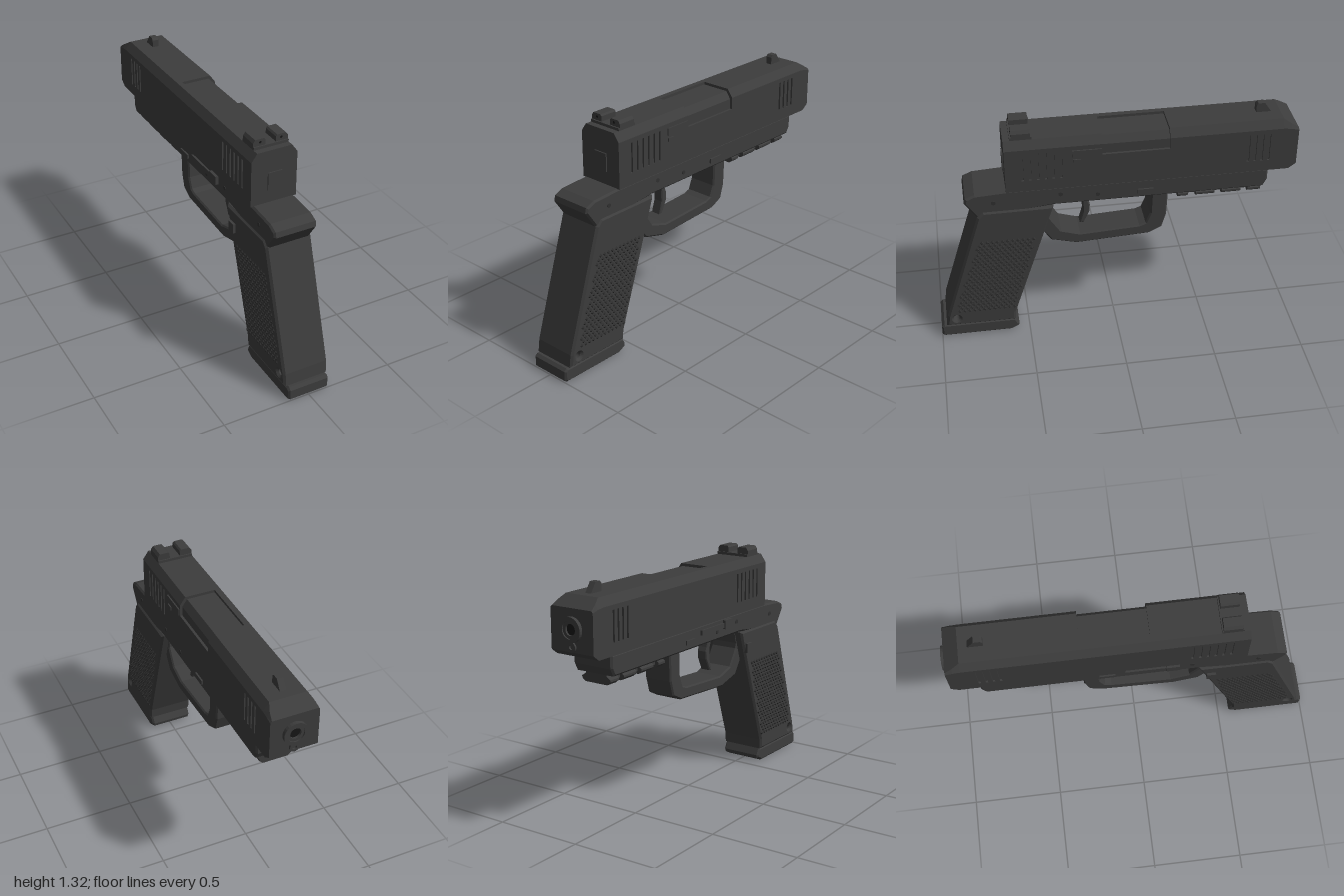
import * as THREE from 'three';
import { mergeGeometries } from 'three/addons/utils/BufferGeometryUtils.js';

const mat = (name, color) => {
  const m = new THREE.MeshStandardMaterial({ color });
  m.name = name;
  return m;
};

export function createModel() {
  const model = new THREE.Group();
  model.name = 'pistol';
  const body = mat('charcoal', 0x3c3c3c);
  const dark = mat('darkCharcoal', 0x303030);
  const black = mat('boreBlack', 0x161616);

  const add = (name, geo, material = body) => {
    const mesh = new THREE.Mesh(geo, material);
    mesh.name = name;
    model.add(mesh);
    return mesh;
  };
  // Box given by its extents
  const box = (name, x0, x1, y0, y1, z0, z1, material) =>
    add(name, new THREE.BoxGeometry(x1 - x0, y1 - y0, z1 - z0)
      .translate((x0 + x1) / 2, (y0 + y1) / 2, (z0 + z1) / 2), material);
  // Side outline in [z, y], extruded across x
  const plate = (name, pts, half, bevel = 0, material = body, hole = null) => {
    const shape = new THREE.Shape(pts.map(([z, y]) => new THREE.Vector2(-z, y)));
    if (hole) shape.holes.push(new THREE.Path().absarc(-hole[0], hole[1], hole[2], 0, Math.PI * 2));
    const geo = new THREE.ExtrudeGeometry(shape, {
      depth: 2 * (half - bevel), bevelEnabled: bevel > 0, bevelSize: bevel,
      bevelThickness: bevel, bevelOffset: -bevel, bevelSegments: 1, curveSegments: 10,
    });
    return add(name, geo.translate(0, 0, bevel - half).rotateY(Math.PI / 2), material);
  };
  // Ring facing along z
  const ring = (name, r, inner, y, z0, z1, material) => {
    const shape = new THREE.Shape().absarc(0, 0, r, 0, Math.PI * 2);
    shape.holes.push(new THREE.Path().absarc(0, 0, inner, 0, Math.PI * 2));
    const geo = new THREE.ExtrudeGeometry(shape, { depth: z1 - z0, bevelEnabled: false, curveSegments: 14 });
    add(name, geo.translate(0, y, z0), material);
  };
  // Short cylinder lying along x
  const pin = (name, x, y, z, r, length, material) =>
    add(name, new THREE.CylinderGeometry(r, r, length, 14).rotateZ(Math.PI / 2).translate(x, y, z), material);

  // Slide: lofted from rear to muzzle, with grooves and the port as stepped stations
  const W = 0.132;
  const section = (z, { inset = 0, port = false, top = 1.265, sh = 1.22, tx = 0.1, bottom = 0.965 } = {}) => {
    const half = [[W, bottom], [W, 1.03], [W - inset, 1.03], [W - inset, 1.195], [W, 1.195], [W, sh], [tx, top]];
    const right = port
      ? [[W, bottom], [W, 1.03], [W, 1.155], [0.118, 1.155], [0.118, 1.21], [0.09, 1.25], [-0.07, 1.25]] : half;
    const left = half.map(([x, y]) => [-x, y]).reverse();
    return [...right, [-0.07, top], ...left].map(([x, y]) => [x, y, z]);
  };
  const stations = [section(0.59)];
  const grooves = (start, count, pitch) => {
    for (let i = 0; i < count; i++) {
      const z = start - i * pitch;
      stations.push(section(z), section(z, { inset: 0.01 }),
        section(z - 0.013, { inset: 0.01 }), section(z - 0.013));
    }
  };
  grooves(0.505, 6, 0.041);
  stations.push(section(0.075), section(0.075, { port: true }),
    section(-0.285, { port: true }), section(-0.285));
  grooves(-0.705, 4, 0.037);
  stations.push(section(-0.9),
    section(-0.94, { top: 1.24, sh: 1.215, tx: 0.116 }),
    section(-0.98, { top: 1.215, sh: 1.205, tx: 0.124, bottom: 0.995 }));
  const pos = [];
  const n = stations[0].length;
  for (let s = 0; s < stations.length - 1; s++) {
    for (let j = 0; j < n; j++) {
      const k = (j + 1) % n;
      const [a, b, c, d] = [stations[s][j], stations[s][k], stations[s + 1][k], stations[s + 1][j]];
      pos.push(...a, ...d, ...c, ...a, ...c, ...b);
    }
  }
  const first = stations[0], last = stations[stations.length - 1];
  for (let j = 0; j < n; j++) {
    const k = (j + 1) % n;
    pos.push(0, 1.1, 0.59, ...first[j], ...first[k], 0, 1.1, -0.98, ...last[k], ...last[j]);
  }
  const slideGeo = new THREE.BufferGeometry();
  slideGeo.setAttribute('position', new THREE.Float32BufferAttribute(pos, 3));
  slideGeo.computeVertexNormals();
  add('slide', slideGeo);
  box('slideBackPlate', -0.037, 0.045, 1.04, 1.14, 0.585, 0.597);
  box('extractor', 0.125, 0.139, 1.155, 1.195, 0.08, 0.235);
  box('extractorLug', 0.125, 0.138, 1.12, 1.14, 0.19, 0.23);

  // Muzzle and guide rod
  ring('barrelRim', 0.065, 0.046, 1.11, -1.0, -0.97);
  ring('barrelInnerRim', 0.047, 0.03, 1.11, -0.993, -0.97);
  add('bore', new THREE.CircleGeometry(0.032, 24).rotateY(Math.PI).translate(0, 1.11, -0.982), black);
  ring('guideRod', 0.026, 0.012, 1.022, -0.99, -0.97);

  // Sights
  box('rearSightBase', -0.1, 0.1, 1.26, 1.28, 0.44, 0.555);
  for (const s of [-1, 1]) {
    const post = new THREE.Shape([[0.03, 1.275], [0.1, 1.275], [0.1, 1.3], [0.088, 1.317], [0.038, 1.317], [0.03, 1.308]]
      .map(([x, y]) => new THREE.Vector2(s * x, y)));
    add('rearSightPost', new THREE.ExtrudeGeometry(post, { depth: 0.1, bevelEnabled: false }).translate(0, 0, 0.447));
    add('rearSightDot', new THREE.CircleGeometry(0.007, 12).translate(s * 0.06, 1.3, 0.549), black);
  }
  plate('frontSight', [[-0.77, 1.26], [-0.77, 1.305], [-0.78, 1.318], [-0.815, 1.318], [-0.855, 1.26]], 0.018);

  // Frame with tail and dust cover
  plate('frame', [[0.59, 0.967], [0.757, 0.957], [0.808, 0.935], [0.815, 0.905], [0.75, 0.81], [0.6, 0.82],
    [0.34, 0.853], [-0.81, 0.853], [-0.832, 0.895], [-0.832, 0.967]], 0.123, 0.01);

  // Accessory rail
  box('railNeck', -0.065, 0.065, 0.815, 0.86, -0.805, -0.345);
  for (const [z0, z1] of [[-0.4, -0.345], [-0.55, -0.445], [-0.695, -0.59], [-0.805, -0.735]]) {
    const tooth = new THREE.Shape([[-0.07, 0.8], [0.07, 0.8], [0.09, 0.817], [0.09, 0.828], [0.065, 0.845],
      [-0.065, 0.845], [-0.09, 0.828], [-0.09, 0.817]].map(([x, y]) => new THREE.Vector2(x, y)));
    add('railTooth', new THREE.ExtrudeGeometry(tooth, { depth: z1 - z0, bevelEnabled: false }).translate(0, 0, z0));
  }

  // Trigger guard and trigger
  plate('triggerGuard', [[0.34, 0.86], [0.44, 0.66], [0.405, 0.665], [0.355, 0.59], [0.215, 0.553], [-0.19, 0.575],
    [-0.26, 0.61], [-0.285, 0.695], [-0.292, 0.86], [-0.2, 0.86], [-0.195, 0.71], [-0.17, 0.648], [-0.135, 0.635],
    [0.195, 0.617], [0.3, 0.65], [0.36, 0.745], [0.366, 0.79], [0.335, 0.86]], 0.085, 0.008);
  plate('trigger', [[0.2, 0.86], [0.16, 0.86], [0.142, 0.79], [0.132, 0.765], [0.135, 0.72], [0.168, 0.65],
    [0.19, 0.65], [0.17, 0.72], [0.172, 0.785]], 0.03, 0.005);

  // Grip and magazine base
  plate('grip', [[0.34, 0.848], [0.72, 0.848], [0.752, 0.815], [0.96, 0.15], [0.97, 0.08], [0.58, 0.08],
    [0.575, 0.14]], W, 0.012, body, [0.91, 0.13, 0.018]);
  plate('magazineBase', [[0.985, 0.08], [1.0, 0.065], [1.0, 0.01], [0.985, 0], [0.605, 0], [0.563, 0.022],
    [0.56, 0.04], [0.58, 0.08]], 0.121, 0.01);

  // Staggered grip studs on both sides
  const studs = [];
  for (let row = 0; row < 24; row++) {
    const y = 0.648 - row * 0.0202;
    const f = row / 23;
    const z0 = 0.445 + f * 0.135, z1 = 0.757 + f * 0.153;
    for (let c = 0; c < 40; c++) {
      const z = 0.4 + (c + (row % 2) / 2) * 0.028;
      if (z < z0 || z > z1) continue;
      for (const s of [-1, 1]) {
        studs.push(new THREE.CylinderGeometry(0.006, 0.0135, 0.007, 4).toNonIndexed()
          .rotateZ(-s * Math.PI / 2).translate(s * (W + 0.002), y, z));
      }
    }
  }
  const studGeo = mergeGeometries(studs);
  studGeo.computeVertexNormals();
  add('gripStuds', studGeo, dark);

  // Controls and pins
  box('slideStop', -0.134, -0.12, 0.912, 0.94, -0.06, 0.23);
  box('slideStopTab', -0.141, -0.12, 0.905, 0.955, 0.16, 0.23);
  box('magazineRelease', -0.146, -0.12, 0.72, 0.775, 0.385, 0.435);
  for (const s of [-1, 1]) {
    box('takedownLever', s * 0.126 - 0.006, s * 0.126 + 0.006, 0.885, 0.91, -0.2, -0.115);
    pin('framePin', s * 0.122, 0.9, 0.1, 0.012, 0.008, dark);
    pin('framePin', s * 0.122, 0.92, 0.3, 0.012, 0.008, dark);
    pin('tailPin', s * 0.122, 0.9, 0.66, 0.012, 0.008, dark);
  }
  return model;
}
